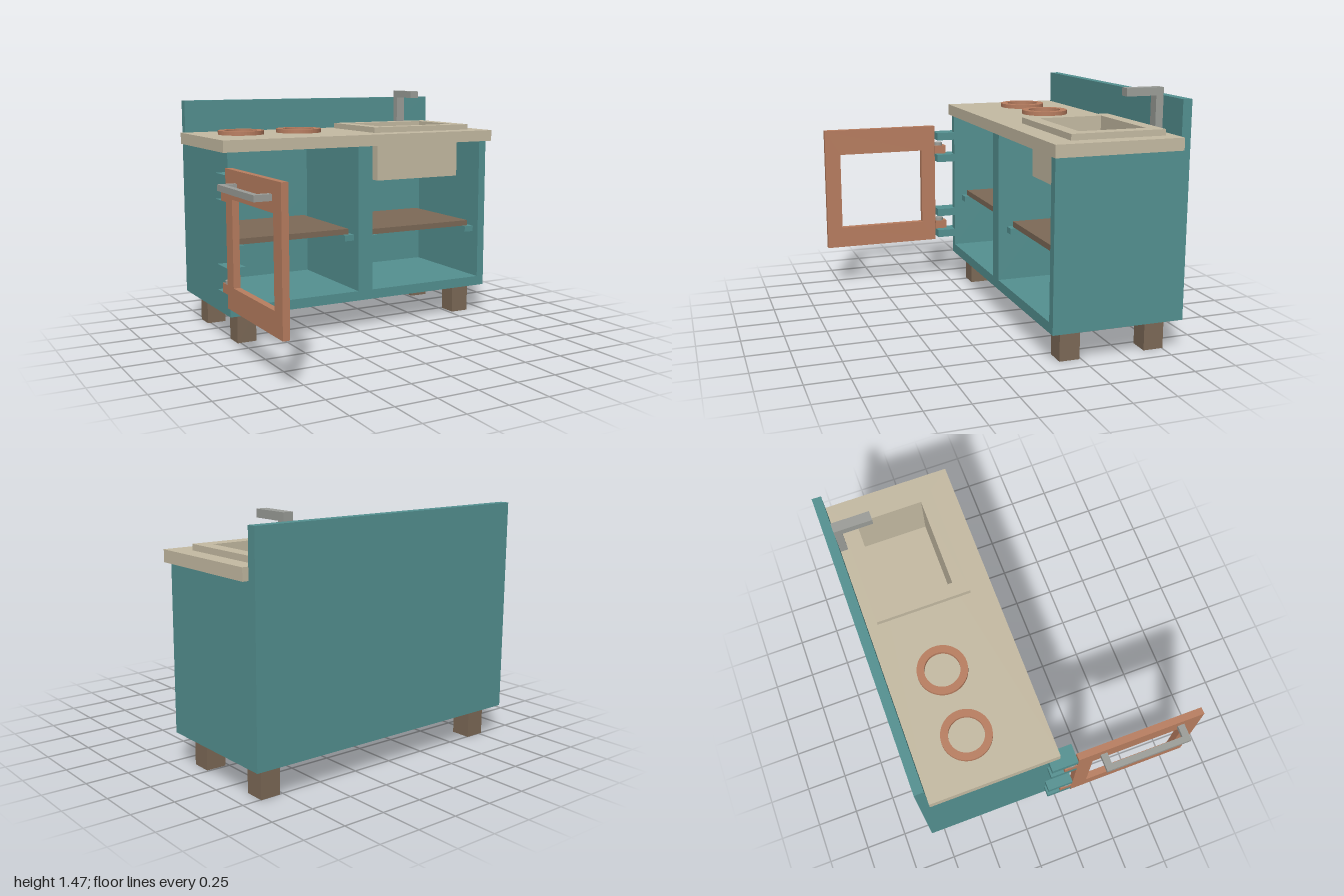
import * as THREE from 'three';

const mat = (color) => new THREE.MeshStandardMaterial({ color, flatShading: true });

export function createModel() {
  const model = new THREE.Group();
  model.name = 'playKitchen';
  const teal = mat(0x549191), cream = mat(0xc5bba3), copper = mat(0xb97e60);
  const wood = mat(0x7d6a57), metal = mat(0x9c9e99);

  const add = (name, geometry, material, parent = model) => {
    const mesh = new THREE.Mesh(geometry, material);
    mesh.name = name;
    parent.add(mesh);
    return mesh;
  };
  const group = (name) => {
    const g = new THREE.Group();
    g.name = name;
    model.add(g);
    return g;
  };
  // Box given by its limits on each axis
  const box = (name, [x0, x1], [y0, y1], [z0, z1], material, parent) =>
    add(name, new THREE.BoxGeometry(x1 - x0, y1 - y0, z1 - z0)
      .translate((x0 + x1) / 2, (y0 + y1) / 2, (z0 + z1) / 2), material, parent);

  const rect = (Type, [a0, a1], [b0, b1]) => new Type([
    [a0, b0], [a1, b0], [a1, b1], [a0, b1],
  ].map(([a, b]) => new THREE.Vector2(a, b)));
  const extrude = (shape, depth) =>
    new THREE.ExtrudeGeometry(shape, { depth, bevelEnabled: false, curveSegments: 24 });
  // Flat plate lying in x-z with a rectangular hole
  const plate = (name, [x0, x1], [z0, z1], hole, [y0, y1], material, parent) => {
    const shape = rect(THREE.Shape, [x0, x1], [-z1, -z0]);
    shape.holes.push(rect(THREE.Path, hole[0], [-hole[1][1], -hole[1][0]]));
    add(name, extrude(shape, y1 - y0).rotateX(-Math.PI / 2).translate(0, y0, 0), material, parent);
  };

  // Cabinet: floor, two sides and divider in one comb-shaped section
  const cabinet = group('cabinet');
  const section = new THREE.Shape([
    [-0.84, 0.185], [0.965, 0.185], [0.965, 1.15], [0.915, 1.15], [0.915, 0.245], [0.11, 0.245],
    [0.11, 1.15], [0.01, 1.15], [0.01, 0.245], [-0.79, 0.245], [-0.79, 1.15], [-0.84, 1.15],
  ].map(([x, y]) => new THREE.Vector2(x, y)));
  add('carcass', extrude(section, 0.73).translate(0, 0, -0.775), teal, cabinet);
  box('backPanel', [-0.84, 0.965], [0.185, 1.42], [-0.83, -0.775], teal, cabinet);

  // Legs
  for (const x of [-0.77, 0.77])
    for (const z of [-0.24, -0.755])
      box('leg', [x, x + 0.12], [0, 0.185], [z, z + 0.12], wood);

  // Shelves resting on cleats
  for (const [x0, x1, y] of [[-0.79, 0.01, 0.595], [0.11, 0.915, 0.58]]) {
    const shelf = group('shelfUnit');
    box('shelf', [x0 + 0.022, x1 - 0.025], [y, y + 0.035], [-0.775, -0.13], wood, shelf);
    for (const x of [x0, x1 - 0.065])
      box('cleat', [x, x + 0.065], [y - 0.037, y], [-0.775, -0.1], teal, shelf);
  }

  // Worktop and sink
  const basinX = [0.27, 0.82], basinZ = [-0.635, -0.24];
  const opening = [basinX, basinZ];
  plate('worktop', [-0.87, 1.0], [-0.775, -0.03], opening, [1.15, 1.22], cream);
  const sink = group('sink');
  plate('sinkRim', [0.19, 0.9], [-0.715, -0.16], opening, [1.22, 1.255], cream, sink);
  plate('sinkWalls', [0.24, 0.85], [-0.665, -0.21], opening, [0.94, 1.15], cream, sink);
  box('sinkFloor', [0.24, 0.85], [0.91, 0.94], [-0.665, -0.21], cream, sink);

  // Tap
  const tap = group('tap');
  box('tapPost', [0.695, 0.755], [1.22, 1.42], [-0.775, -0.73], metal, tap);
  box('tapSpout', [0.695, 0.755], [1.42, 1.465], [-0.775, -0.55], metal, tap);

  // Burner rings
  for (const x of [-0.587, -0.195]) {
    const ring = new THREE.Shape().absarc(0, 0, 0.142, 0, Math.PI * 2);
    ring.holes.push(new THREE.Path().absarc(0, 0, 0.1, 0, Math.PI * 2, true));
    add('burner', extrude(ring, 0.025).rotateX(-Math.PI / 2).translate(x, 1.22, -0.463), copper);
  }

  // Open door with a window and a handle on its outer face
  const door = group('door');
  const frame = rect(THREE.Shape, [0.075, 0.83], [0.275, 1.075]);
  frame.holes.push(rect(THREE.Path, [0.17, 0.73], [0.41, 0.91]));
  add('doorFrame', extrude(frame, 0.04).rotateY(-Math.PI / 2).translate(-0.86, 0, 0), copper, door);
  box('handleBar', [-1, -0.965], [0.97, 1.005], [0.21, 0.72], metal, door);
  for (const z of [0.21, 0.68])
    box('handlePost', [-0.965, -0.9], [0.97, 1.005], [z, z + 0.04], metal, door);

  // Hinges: two cabinet brackets, a door knuckle and a headed pin
  for (const y of [0.305, 0.835]) {
    const hinge = group('hinge');
    for (const dy of [0, 0.15])
      box('bracket', [-0.9, -0.79], [y + dy, y + dy + 0.05], [-0.08, 0.075], teal, hinge);
    box('knuckle', [-0.9, -0.845], [y + 0.05, y + 0.105], [0, 0.077], copper, hinge);
    add('pinHead', new THREE.CylinderGeometry(0.028, 0.028, 0.02, 24)
      .translate(-0.872, y + 0.115, 0.047), metal, hinge);
    add('pin', new THREE.CylinderGeometry(0.008, 0.008, 0.125, 16)
      .translate(-0.872, y + 0.05, 0.047), metal, hinge);
  }
  return model;
}
